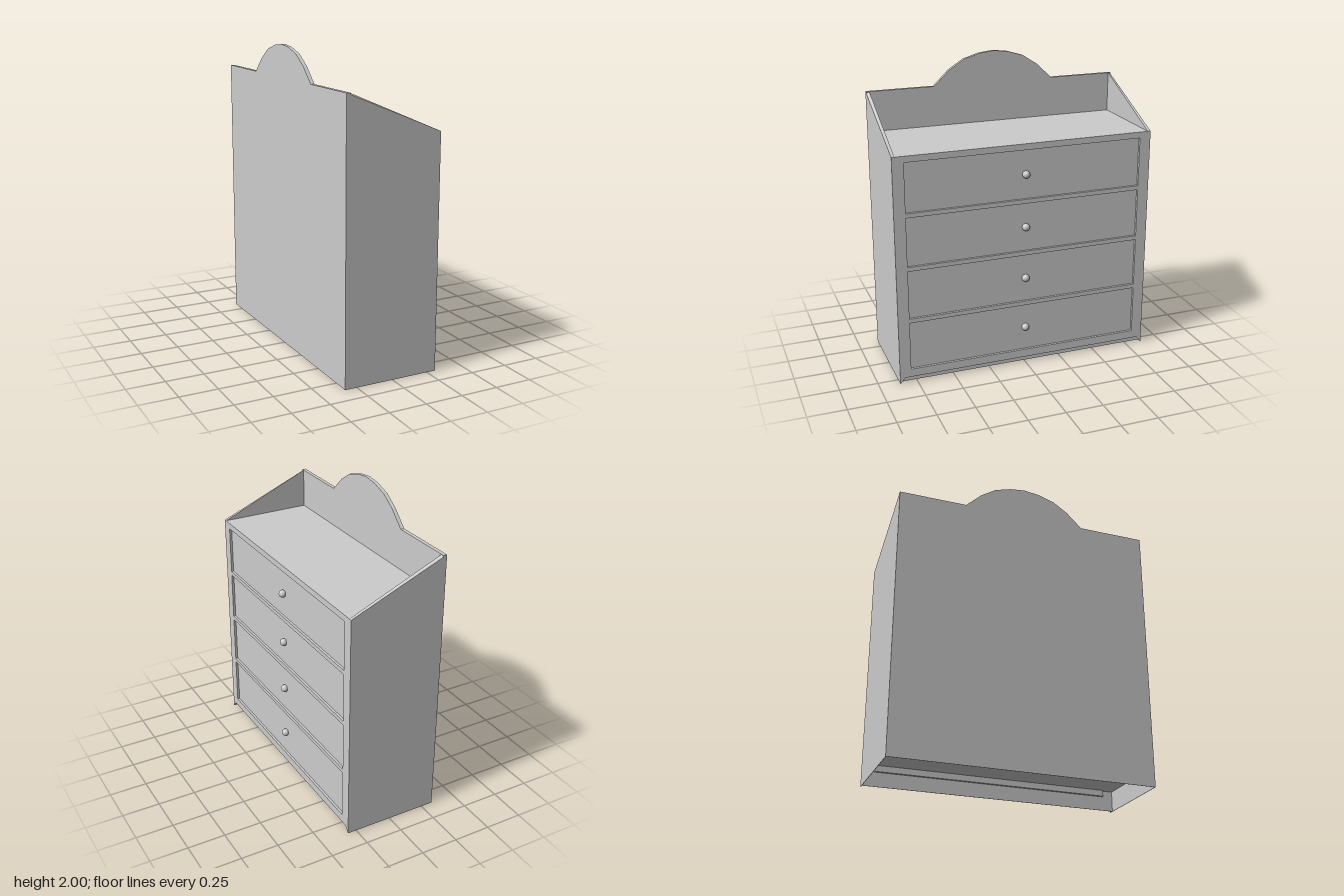
import * as THREE from 'three';

const material = new THREE.MeshStandardMaterial({ color: 0xcccccc });

// Main dimensions: drawers face +x, width runs along z
const BACK = -0.33, FRONT = 0.31, HALF = 0.865;
const FLOOR = 0.135, SHELF = 1.525, RIM = 1.79;
const PANEL = 0.02, BACK_IN = -0.305, RECESS = 0.28;

function add(group, name, geometry) {
  const mesh = new THREE.Mesh(geometry, material);
  mesh.name = name;
  group.add(mesh);
  return mesh;
}

// Box given by its limits on each axis
function box(x0, x1, y0, y1, z0, z1) {
  return new THREE.BoxGeometry(x1 - x0, y1 - y0, z1 - z0)
    .translate((x0 + x1) / 2, (y0 + y1) / 2, (z0 + z1) / 2);
}

function shapeOf(points) {
  return new THREE.Shape(points.map(([a, b]) => new THREE.Vector2(a, b)));
}

// Upright board across the width, from x0 to x1
function crossBoard(shape, x0, x1) {
  return new THREE.ExtrudeGeometry(shape, { depth: x1 - x0, bevelEnabled: false })
    .rotateY(Math.PI / 2).translate(x0, 0, 0);
}

function sidePanelGeometry() {
  const shape = shapeOf([[BACK, FLOOR], [FRONT, FLOOR], [FRONT, SHELF], [BACK_IN, RIM], [BACK, RIM]]);
  const geo = new THREE.ExtrudeGeometry(shape, { depth: PANEL, bevelEnabled: false })
    .translate(0, 0, HALF - PANEL);
  // The outer rim runs straight to the back corner, a little below the inner rim
  const p = geo.attributes.position;
  const outerY = RIM - (RIM - SHELF) * (BACK_IN - BACK) / (FRONT - BACK);
  for (let i = 0; i < p.count; i++) {
    const atKnee = Math.abs(p.getX(i) - BACK_IN) < 1e-4 && p.getY(i) > SHELF;
    if (atKnee && p.getZ(i) > HALF - 1e-4) p.setY(i, outerY);
  }
  geo.computeVertexNormals();
  return geo;
}

export function createModel() {
  const chest = new THREE.Group();
  chest.name = 'chestOfDrawers';

  // Carcass with the flat top shelf
  add(chest, 'carcass', box(BACK_IN, RECESS, FLOOR, SHELF, -HALF + PANEL, HALF - PANEL));

  // Side panels with sloping rims, and thin skirts around the hollow base
  const side = sidePanelGeometry();
  const skirt = box(BACK, FRONT, 0, FLOOR, HALF - 0.003, HALF);
  for (const [label, sign] of [['left', 1], ['right', -1]]) {
    add(chest, label + 'SidePanel', side).scale.z = sign;
    add(chest, label + 'Skirt', skirt).scale.z = sign;
  }
  add(chest, 'backSkirt', box(BACK, BACK + 0.003, 0, FLOOR, -HALF, HALF));
  add(chest, 'toeBoard', box(RECESS - 0.003, RECESS, 0, FLOOR, -HALF, HALF));

  // Back panel with a faceted arch
  const arch = [[0.415, RIM], [0.31, 1.89], [0.21, 1.955], [0.1, 1.988]];
  const mirrored = arch.map(([z, y]) => [-z, y]).reverse();
  add(chest, 'backPanel', crossBoard(shapeOf([
    [-HALF, FLOOR], [HALF, FLOOR], [HALF, RIM],
    ...arch, [0, 2], ...mirrored, [-HALF, RIM],
  ]), BACK, BACK_IN));

  // Face frame, notched at the foot, with an opening for each drawer
  const frame = shapeOf([
    [-HALF, 0], [-0.83, 0.04], [0.83, 0.04], [HALF, 0], [HALF, SHELF], [-HALF, SHELF],
  ]);
  const W = 0.79, H = 0.326;
  for (let i = 0; i < 4; i++) {
    const y = 0.095 + i * 0.3545;
    frame.holes.push(new THREE.Path([[-W, y], [-W, y + H], [W, y + H], [W, y]]
      .map(([a, b]) => new THREE.Vector2(a, b))));

    // Recessed drawer front and round knob
    const drawer = new THREE.Group();
    drawer.name = 'drawer' + (i + 1);
    add(drawer, 'drawerFront', box(RECESS - 0.02, 0.294, y, y + H, -W, W));
    add(drawer, 'knob', new THREE.SphereGeometry(0.025, 24, 16).translate(0.305, y + H / 2, 0));
    chest.add(drawer);
  }
  add(chest, 'faceFrame', crossBoard(frame, RECESS, FRONT));

  return chest;
}
